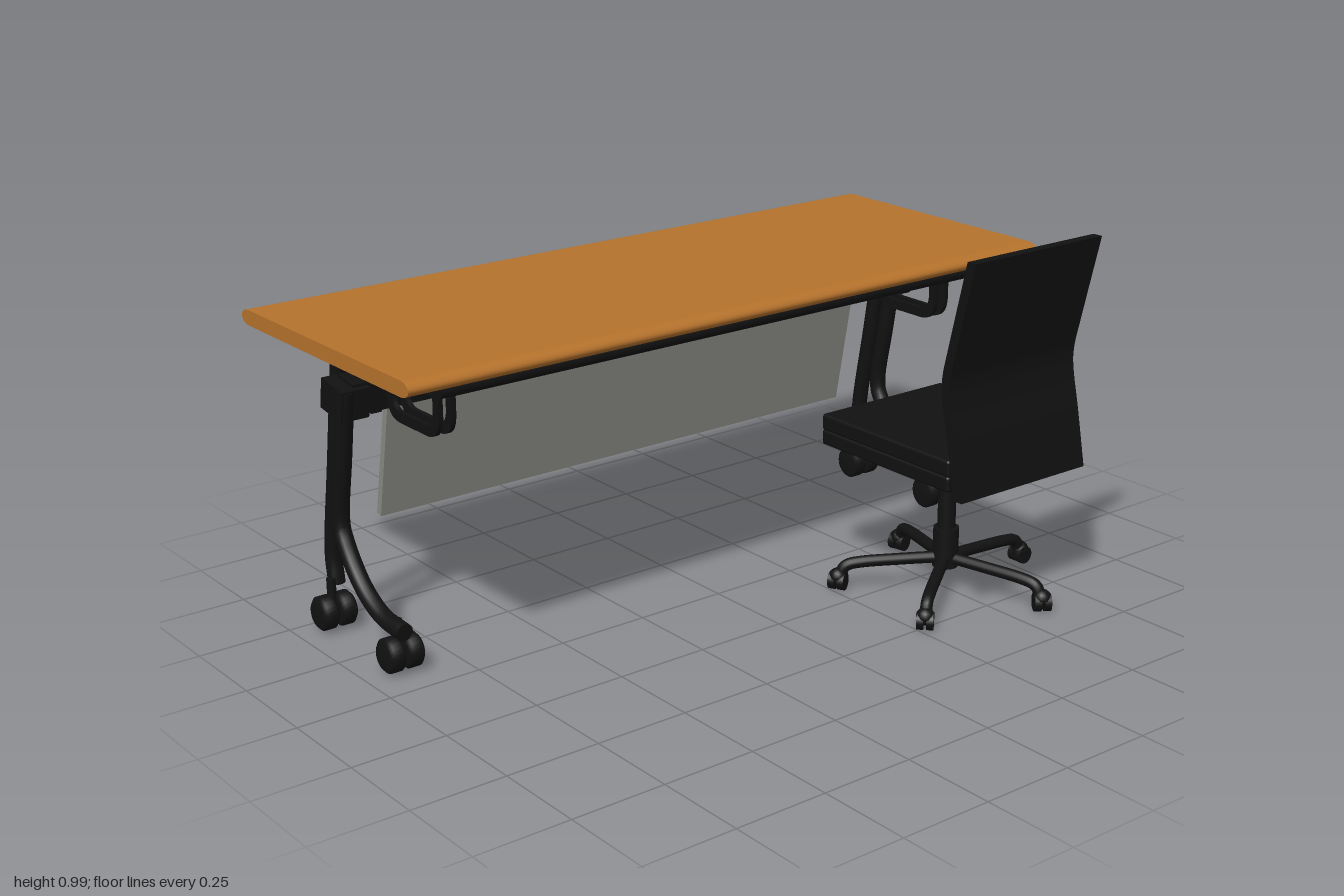
import * as THREE from 'three';
import { mergeGeometries } from 'three/addons/utils/BufferGeometryUtils.js';
import { RoundedBoxGeometry } from 'three/addons/geometries/RoundedBoxGeometry.js';

const V = (x, y, z) => new THREE.Vector3(x, y, z);
const material = (color) => new THREE.MeshStandardMaterial({ color });

export function createModel() {
  const model = new THREE.Group();
  const wood = material(0xb5722c), black = material(0x111111);
  const panelGrey = material(0x8a8a84), steel = material(0xcccccc);

  function add(parent, name, geometry, mat = black, x = 0, y = 0, z = 0) {
    const mesh = new THREE.Mesh(geometry, mat);
    mesh.name = name;
    mesh.position.set(x, y, z);
    parent.add(mesh);
    return mesh;
  }
  function group(parent, name, x = 0, y = 0, z = 0) {
    const g = new THREE.Group();
    g.name = name;
    g.position.set(x, y, z);
    parent.add(g);
    return g;
  }
  const box = (w, h, d) => new THREE.BoxGeometry(w, h, d);
  const cyl = (r, h, r2 = r) => new THREE.CylinderGeometry(r2, r, h, 24);

  // Side profile in (z, y), extruded along x and centred
  function sideExtrude(shape, width) {
    const g = new THREE.ExtrudeGeometry(shape, { depth: width, bevelEnabled: false, curveSegments: 16 });
    return g.translate(0, 0, -width / 2).rotateY(-Math.PI / 2);
  }

  // Slab with half-elliptic front and back edges
  function slab(width, z0, z1, y0, y1, rz) {
    const s = new THREE.Shape(), m = (y0 + y1) / 2, ry = (y1 - y0) / 2;
    s.moveTo(z0 + rz, y0);
    s.lineTo(z1 - rz, y0);
    s.absellipse(z1 - rz, m, rz, ry, -Math.PI / 2, Math.PI / 2);
    s.lineTo(z0 + rz, y1);
    s.absellipse(z0 + rz, m, rz, ry, Math.PI / 2, Math.PI * 1.5);
    return sideExtrude(s, width);
  }

  // Round tube with closed ends
  function tube(points, r, tension = 0.5) {
    const curve = new THREE.CatmullRomCurve3(points, false, 'catmullrom', tension);
    const parts = [new THREE.TubeGeometry(curve, 40, r, 14)];
    for (const t of [0, 1]) {
      const dir = curve.getTangent(t).multiplyScalar(t ? 1 : -1);
      const cap = new THREE.CircleGeometry(r, 14);
      cap.applyQuaternion(new THREE.Quaternion().setFromUnitVectors(V(0, 0, 1), dir));
      const p = curve.getPoint(t);
      parts.push(cap.translate(p.x, p.y, p.z));
    }
    return mergeGeometries(parts);
  }

  // Twin-wheel castor with a swivel stem
  function castor(parent, x, z) {
    const c = group(parent, 'tableCastor', x, 0.05, z);
    for (const s of [-1, 1]) {
      const wheel = new THREE.LatheGeometry([
        [0, -0.022], [0.036, -0.022], [0.045, -0.014], [0.045, 0.014], [0.036, 0.022], [0, 0.022],
      ].map(([r, y]) => new THREE.Vector2(r, y)), 28).rotateZ(Math.PI / 2);
      add(c, 'wheel', wheel, black, s * 0.026);
    }
    add(c, 'axle', cyl(0.02, 0.06).rotateZ(Math.PI / 2));
    add(c, 'stem', cyl(0.012, 0.08), black, 0, 0.045, -0.008);
  }

  // ---- Table ----
  const table = group(model, 'table');
  add(table, 'tableTop', slab(2, -0.64, 0.15, 0.785, 0.825, 0.035), wood);
  add(table, 'underFrame', slab(1.755, -0.59, 0.1, 0.747, 0.785, 0.019), black, -0.007);
  add(table, 'crossBeam', box(1.8, 0.085, 0.07), black, 0, 0.655, -0.325).rotation.x = 0.16;
  add(table, 'beamCatch', box(0.07, 0.02, 0.04), black, -0.03, 0.612, -0.32);
  add(table, 'modestyPanel', box(1.54, 0.335, 0.02), panelGrey, 0, 0.45, -0.386).rotation.x = 0.19;

  for (const side of [-1, 1]) {
    const frame = group(table, side < 0 ? 'rightFrame' : 'leftFrame', side * 0.898);
    add(frame, 'frontLeg', tube([
      V(-0.02, 0.68, -0.288), V(-0.02, 0.5, -0.318), V(-0.02, 0.34, -0.346), V(-0.02, 0.27, -0.325),
      V(-0.02, 0.185, -0.255), V(-0.02, 0.135, -0.165), V(-0.02, 0.125, -0.06),
    ], 0.023));
    add(frame, 'rearLeg', tube([
      V(0.018, 0.72, -0.38), V(0.018, 0.46, -0.423), V(0.018, 0.22, -0.464), V(0.018, 0.115, -0.457),
    ], 0.022));
    add(frame, 'legJoint', box(0.078, 0.08, 0.1), black, 0, 0.65, -0.325).rotation.x = 0.16;
    add(frame, 'topBracket', box(0.03, 0.15, 0.075), black, -side * 0.07, 0.682, -0.325).rotation.x = 0.16;
    castor(frame, -0.003, -0.115);
    castor(frame, -0.003, -0.44);

    // Pair of U-shaped hoops under the top
    for (const dx of [-0.018, 0.018]) {
      const s = new THREE.Shape();
      s.moveTo(-0.25, 0.75);
      s.lineTo(-0.25, 0.67);
      s.quadraticCurveTo(-0.25, 0.605, -0.19, 0.605);
      s.lineTo(-0.07, 0.605);
      s.quadraticCurveTo(-0.013, 0.605, -0.013, 0.67);
      s.lineTo(-0.013, 0.75);
      s.lineTo(-0.038, 0.75);
      s.lineTo(-0.038, 0.675);
      s.quadraticCurveTo(-0.038, 0.632, -0.075, 0.632);
      s.lineTo(-0.185, 0.632);
      s.quadraticCurveTo(-0.225, 0.632, -0.225, 0.675);
      s.lineTo(-0.225, 0.75);
      add(table, 'cableHoop', sideExtrude(s, 0.013), black, side * 0.802 + dx);
    }
  }

  // ---- Chair ----
  const chair = group(model, 'chair', 0.5, 0, 0.34);
  add(chair, 'seatCushion', new RoundedBoxGeometry(0.43, 0.045, 0.475, 3, 0.008), black, 0, 0.4425, -0.022);
  add(chair, 'seatPan', new RoundedBoxGeometry(0.43, 0.042, 0.475, 3, 0.008), black, 0, 0.401, -0.022);

  // Bent backrest
  const spine = new THREE.SplineCurve([
    [0.244, 0.37], [0.214, 0.52], [0.192, 0.62], [0.19, 0.68], [0.21, 0.77], [0.262, 0.985],
  ].map(([z, y]) => new THREE.Vector2(z, y))).getPoints(24);
  const outline = [
    ...spine.map((p) => new THREE.Vector2(p.x - 0.001, p.y)),
    ...spine.reverse().map((p) => new THREE.Vector2(p.x + 0.027, p.y)),
  ];
  add(chair, 'backrest', sideExtrude(new THREE.Shape(outline), 0.44));

  // Column and controls
  add(chair, 'hub', cyl(0.034, 0.11), black, 0, 0.118);
  add(chair, 'columnSleeve', cyl(0.024, 0.13), black, 0, 0.235);
  add(chair, 'gasLift', cyl(0.014, 0.1), steel, 0, 0.335);
  add(chair, 'liftCollar', cyl(0.025, 0.014), black, 0, 0.355);
  add(chair, 'tensionKnob', cyl(0.022, 0.09), black, 0, 0.338, 0.102);
  add(chair, 'lever', tube([V(0, 0.362, 0), V(0.1, 0.362, 0.015), V(0.17, 0.355, 0.025), V(0.215, 0.33, 0.045)], 0.006));
  const paddle = add(chair, 'leverPaddle', new THREE.SphereGeometry(1, 16, 12), black, 0.218, 0.323, 0.045);
  paddle.scale.set(0.032, 0.013, 0.02);
  paddle.rotation.z = -0.4;

  // Five-star base
  for (let i = 0; i < 5; i++) {
    const arm = group(chair, 'baseArm');
    arm.rotation.y = (i * Math.PI * 2) / 5;
    add(arm, 'spoke', tube([
      V(0.01, 0.088, 0), V(0.12, 0.083, 0), V(0.22, 0.077, 0), V(0.265, 0.066, 0), V(0.28, 0.035, 0),
    ], 0.016));
    const foot = group(arm, 'footCastor', 0.285, 0.024, 0);
    foot.rotation.y = -arm.rotation.y + 0.25 * i;
    for (const s of [-1, 1]) {
      add(foot, 'wheel', cyl(0.024, 0.018).rotateX(Math.PI / 2), black, 0, 0, s * 0.013);
    }
    add(foot, 'hood', new THREE.SphereGeometry(0.024, 16, 10), black, 0, 0.012);
  }
  return model;
}
